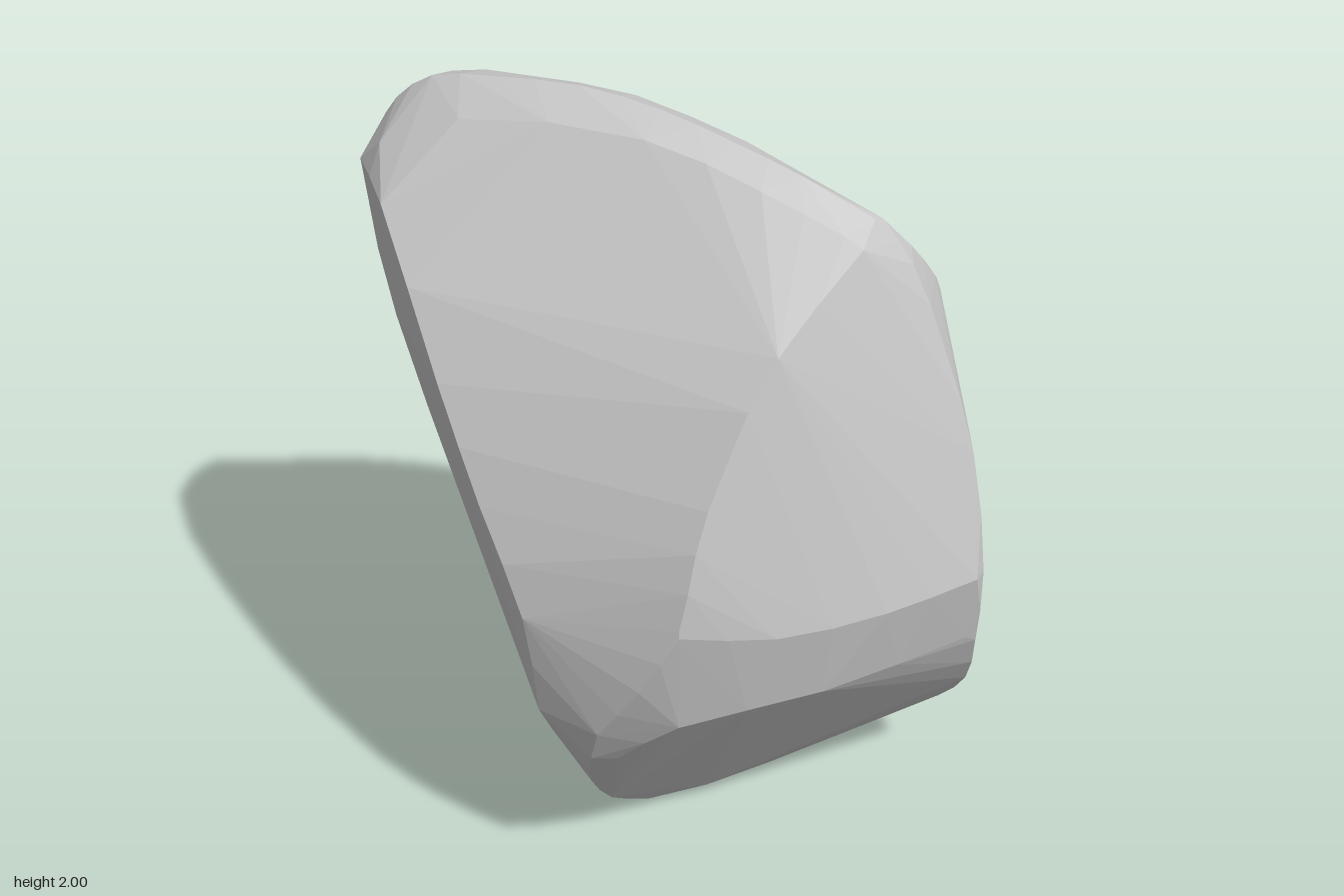
import * as THREE from 'three';
import { ConvexGeometry } from 'three/addons/geometries/ConvexGeometry.js';

// Softly curved ridges of the boulder; the flat faces span between them
const crest = [
  [-0.8, 1.77, -0.04], [-0.73, 1.87, -0.02], [-0.62, 1.95, 0], [-0.45, 1.98, 0.02], [-0.22, 2, 0.04],
  [0, 1.99, 0.08], [0.2, 1.96, 0.13], [0.37, 1.92, 0.16], [0.54, 1.84, 0.15],
];
const crestFront = [
  [-0.72, 1.8, 0.1], [-0.5, 1.9, 0.11], [0, 1.95, 0.17], [0.3, 1.9, 0.23], [0.5, 1.83, 0.24],
];
const crestBack = [
  [-0.75, 1.82, -0.13], [-0.62, 1.92, -0.11], [-0.4, 1.96, -0.06], [-0.1, 1.97, -0.02], [0.2, 1.93, 0.05],
];
const leftFrontRidge = [
  [-0.81, 1.72, 0.04], [-0.65, 1.71, 0.24], [-0.4, 1.4, 0.48], [-0.25, 1.16, 0.59],
  [-0.12, 0.92, 0.655], [-0.11, 0.62, 0.605],
];
const rightFrontRidge = [
  [0.54, 1.8, 0.23], [0.43, 1.63, 0.47], [0.35, 1.4, 0.58], [0.31, 1.2, 0.65],
  [0.28, 1, 0.675], [0.18, 0.8, 0.675], [0.06, 0.62, 0.645],
];
const rightRidge = [
  [0.55, 1.83, 0.12], [0.62, 1.72, 0.1], [0.7, 1.5, 0.07], [0.78, 1.23, 0.05],
  [0.825, 0.9, 0.04], [0.805, 0.65, -0.02], [0.75, 0.4, -0.19], [0.66, 0.24, -0.3], [0.55, 0.13, -0.37],
];
// Near edge of the back right face, beside the right ridge
const rightShoulder = [
  [0.6, 1.74, 0.05], [0.63, 1.62, -0.06], [0.64, 1.5, -0.13], [0.71, 1.1, -0.13],
  [0.77, 0.72, -0.15], [0.7, 0.4, -0.27], [0.6, 0.24, -0.38], [0.45, 0.3, -0.55],
];
const backRightBulge = [[0.75, 0.62, -0.21], [0.6, 0.6, -0.415], [0.45, 0.6, -0.57]];
const backTopRidge = [
  [0.62, 1.58, -0.12], [0.43, 1.44, -0.4], [0.28, 1.3, -0.59], [0.16, 1.21, -0.665],
];
const rightBackRidge = [
  [0.11, 1.18, -0.67], [0.14, 1, -0.68], [0.19, 0.75, -0.66], [0.22, 0.5, -0.625],
  [0.21, 0.3, -0.575], [0.16, 0.16, -0.52], [0.15, 0.07, -0.44],
];
const backBand = [[0.28, 1.1, -0.655], [0.35, 0.8, -0.63], [0.42, 0.5, -0.585], [0.36, 0.2, -0.52]];
const leftBackRidge = [
  [-0.75, 1.76, -0.17], [-0.45, 1.6, -0.43], [-0.2, 1.43, -0.575], [0.12, 1.2, -0.67],
];
const leftRidge = [
  [-0.8, 1.72, -0.12], [-0.83, 1.6, -0.04], [-0.785, 1.25, -0.04], [-0.61, 0.75, -0.02],
  [-0.39, 0.33, 0.06], [-0.28, 0.12, 0.02], [-0.2, 0, -0.07],
];
// Back edge of the left side, running down to the base
const leftUnderRidge = [
  [-0.81, 1.65, -0.13], [-0.77, 1.25, -0.12], [-0.6, 0.75, -0.13], [-0.4, 0.33, -0.15],
  [-0.28, 0.13, -0.2], [-0.08, 0.05, -0.34], [0.05, 0.06, -0.43],
];
// The bevel between the front right face and the underside
const upperBevel = [[0.28, 0.98, 0.675], [0.46, 0.92, 0.515], [0.66, 0.9, 0.295], [0.82, 0.9, 0.08]];
const lowerBevel = [[0.08, 0.5, 0.57], [0.25, 0.66, 0.595], [0.53, 0.68, 0.36], [0.79, 0.68, 0.02]];
const underFrontRidge = [[0.02, 0.5, 0.595], [-0.04, 0.31, 0.46], [-0.04, 0.155, 0.33], [-0.02, 0.05, 0.19]];
const lowerLeftRidge = [
  [-0.08, 0.46, 0.52], [-0.2, 0.34, 0.34], [-0.18, 0.15, 0.22], [-0.1, 0.05, 0.19],
];
const baseRim = [
  [-0.1, 0.05, 0.2], [0, 0.04, 0.17], [0.25, 0.05, -0.08], [0.45, 0.09, -0.32],
  [0.4, 0.08, -0.42], [0.2, 0.05, -0.42], [0, 0.03, -0.34], [-0.2, 0.01, -0.1],
];

// Samples a ridge as a smooth curve
const sample = (ridge) =>
  new THREE.CatmullRomCurve3(ridge.map((p) => new THREE.Vector3(...p)), false, 'centripetal')
    .getPoints((ridge.length - 1) * 2);

export function createModel() {
  const group = new THREE.Group();
  group.name = 'rock';

  const points = [
    crest, crestFront, crestBack, leftFrontRidge, rightFrontRidge, rightRidge, rightShoulder,
    backRightBulge, backTopRidge, rightBackRidge, backBand, leftBackRidge, leftRidge, leftUnderRidge,
    upperBevel, lowerBevel, underFrontRidge, lowerLeftRidge, baseRim,
  ].flatMap(sample);

  // Faceted stone skin stretched over all the ridges
  const boulder = new THREE.Mesh(
    new ConvexGeometry(points),
    new THREE.MeshStandardMaterial({ color: 0xcccccc, flatShading: true }),
  );
  boulder.name = 'boulder';
  group.add(boulder);
  return group;
}
